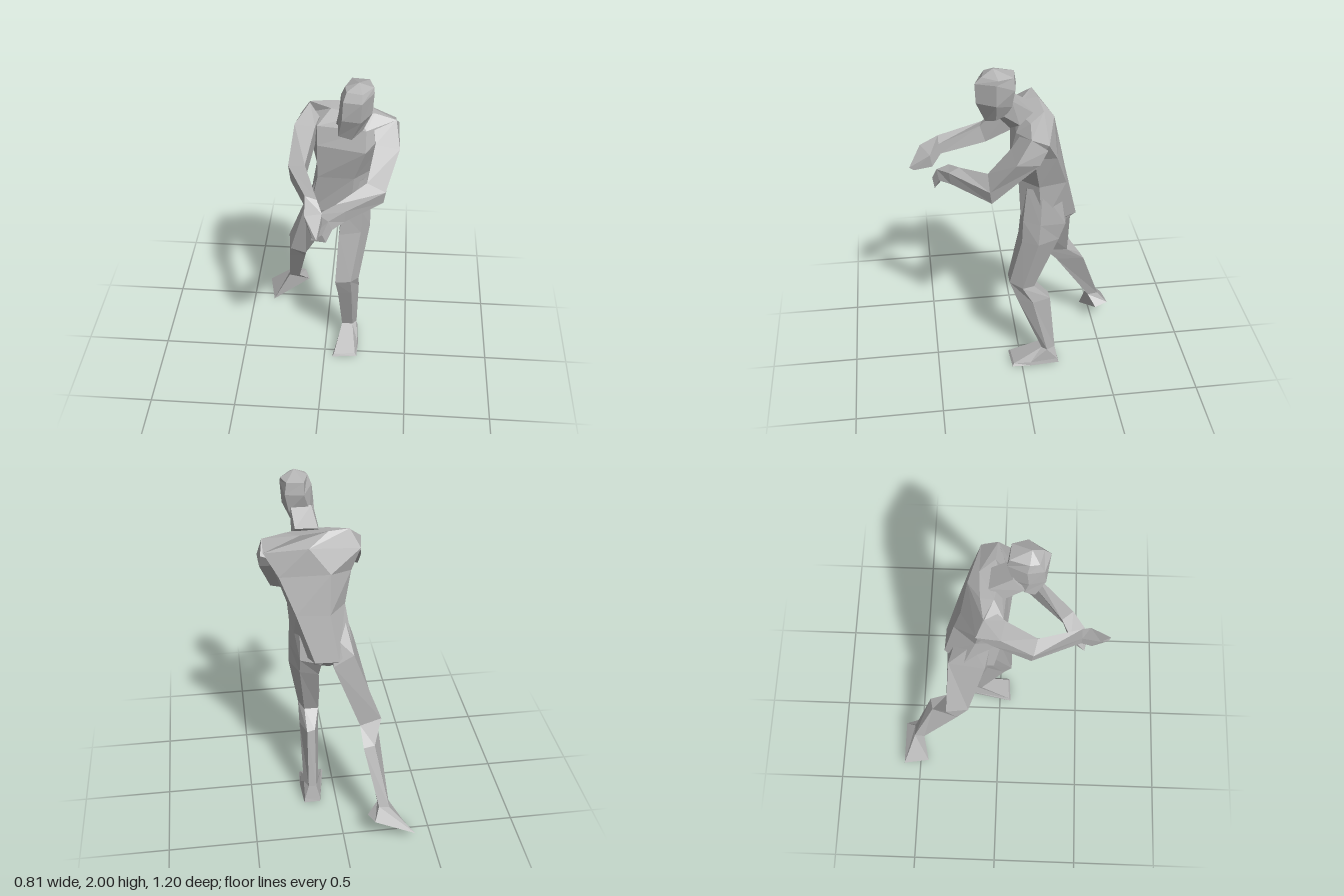
import * as THREE from 'three';

const skin = new THREE.MeshStandardMaterial({ color: 0xb4b4b4, flatShading: true });
skin.name = 'plain grey';

// Joins cross-section rings of equal length into a closed, faceted solid.
function loft(name, rings) {
  const n = rings[0].length, tris = [];
  for (let r = 0; r < rings.length - 1; r++) {
    for (let i = 0; i < n; i++) {
      const j = (i + 1) % n;
      const a = rings[r][i], b = rings[r][j], c = rings[r + 1][j], d = rings[r + 1][i];
      tris.push([a, b, c], [a, c, d]);
    }
  }
  const first = rings[0], last = rings[rings.length - 1];
  for (let i = 1; i < n - 1; i++) {
    tris.push([first[0], first[i + 1], first[i]], [last[0], last[i], last[i + 1]]);
  }
  // Turn every face outward, whichever way the rings run.
  const v = (p) => new THREE.Vector3(...p);
  const centre = v(first[0]);
  const volume = tris.reduce((s, [a, b, c]) =>
    s + v(a).sub(centre).dot(v(b).sub(centre).cross(v(c).sub(centre))), 0);
  if (volume < 0) tris.forEach((t) => t.reverse());
  const geo = new THREE.BufferGeometry();
  geo.setAttribute('position', new THREE.Float32BufferAttribute(tris.flat(2), 3));
  geo.computeVertexNormals();
  const mesh = new THREE.Mesh(geo, skin);
  mesh.name = name;
  return mesh;
}

export function createModel() {
  const model = new THREE.Group();
  model.name = 'figure';

  // Torso: crotch, hips, waist, chest, shoulders, collar
  model.add(loft('torso', [
    [[0.02, 0.98, -0.04], [0.08, 0.98, -0.04], [0.15, 0.98, -0.1], [0.13, 0.99, -0.2], [0.04, 0.99, -0.22], [0, 1, -0.15]],
    [[-0.085, 1.08, -0.03], [0.14, 1.08, 0.005], [0.235, 1.06, -0.1], [0.13, 1.07, -0.305], [0, 1.07, -0.31], [-0.09, 1.1, -0.2]],
    [[-0.04, 1.33, 0.015], [0.16, 1.33, 0.02], [0.255, 1.33, -0.08], [0.22, 1.33, -0.23], [0.04, 1.33, -0.25], [-0.055, 1.33, -0.13]],
    [[-0.04, 1.55, 0.04], [0.22, 1.53, 0.07], [0.33, 1.55, -0.04], [0.3, 1.53, -0.165], [0.03, 1.55, -0.205], [-0.09, 1.52, -0.11]],
    [[-0.04, 1.66, 0.02], [0.22, 1.65, 0.04], [0.375, 1.69, -0.02], [0.375, 1.65, -0.11], [0.14, 1.69, -0.17], [-0.14, 1.65, -0.115]],
    [[0.03, 1.74, -0.03], [0.18, 1.72, 0], [0.26, 1.72, -0.03], [0.18, 1.74, -0.11], [0.03, 1.75, -0.1], [-0.085, 1.75, -0.08]],
  ]));

  // Neck and head
  model.add(loft('neck', [
    [[0.13, 1.63, 0.06], [0.215, 1.69, 0.02], [0.2, 1.75, -0.05], [0.08, 1.75, -0.06], [0.06, 1.68, 0.02]],
    [[0.13, 1.73, 0.15], [0.2, 1.76, 0.13], [0.21, 1.83, 0.06], [0.1, 1.83, 0.06], [0.075, 1.76, 0.12]],
  ]));
  model.add(loft('head', [
    [[0.08, 1.7, 0.175], [0.15, 1.69, 0.19], [0.205, 1.72, 0.14], [0.2, 1.74, 0.09], [0.11, 1.74, 0.08], [0.075, 1.74, 0.12]],
    [[0.1, 1.82, 0.225], [0.195, 1.82, 0.24], [0.25, 1.82, 0.14], [0.22, 1.8, 0.06], [0.11, 1.8, 0.06], [0.08, 1.82, 0.14]],
    [[0.105, 1.92, 0.215], [0.2, 1.93, 0.245], [0.258, 1.94, 0.14], [0.24, 1.9, 0.045], [0.14, 1.9, 0.03], [0.09, 1.92, 0.13]],
    [[0.12, 1.965, 0.19], [0.2, 1.965, 0.21], [0.255, 1.965, 0.13], [0.23, 1.965, 0.05], [0.14, 1.965, 0.04], [0.11, 1.97, 0.14]],
    Array(6).fill([0.18, 2, 0.15]),
  ]));

  // Right leg: waist side, hip, knee, calf, ankle
  const rightAnkle = [[-0.265, 0.2, -0.47], [-0.2, 0.2, -0.47], [-0.2, 0.21, -0.53], [-0.26, 0.2, -0.53]];
  model.add(loft('rightLeg', [
    [[-0.045, 1.29, -0.05], [0.03, 1.2, -0.04], [0.03, 1.2, -0.24], [-0.045, 1.27, -0.15]],
    [[-0.11, 1.09, -0.08], [0.02, 0.99, -0.02], [0.03, 1.03, -0.295], [-0.085, 1.09, -0.285]],
    [[-0.22, 0.66, -0.18], [-0.13, 0.63, -0.18], [-0.12, 0.63, -0.31], [-0.24, 0.67, -0.31]],
    [[-0.235, 0.55, -0.25], [-0.14, 0.55, -0.25], [-0.125, 0.55, -0.415], [-0.19, 0.55, -0.4]],
    rightAnkle,
  ]));
  // Trailing foot, raised at the heel
  model.add(loft('rightFoot', [
    rightAnkle,
    [[-0.37, 0, -0.45], [-0.14, 0.14, -0.51], [-0.17, 0.15, -0.59], [-0.405, 0.045, -0.6]],
  ]));

  // Left leg: waist side, hip, thigh, knee, calf, ankle
  const leftAnkle = [[0.1, 0.12, -0.12], [0.165, 0.12, -0.12], [0.19, 0.12, -0.15], [0.165, 0.12, -0.2], [0.12, 0.12, -0.2]];
  model.add(loft('leftLeg', [
    [[0.13, 1.25, -0.02], [0.21, 1.3, -0.02], [0.245, 1.3, -0.1], [0.2, 1.3, -0.2], [0.13, 1.22, -0.2]],
    [[0.1, 1.08, 0], [0.21, 1.09, 0], [0.253, 1.08, -0.09], [0.205, 1.05, -0.235], [0.09, 1.03, -0.26]],
    [[0.08, 0.93, 0.01], [0.205, 0.95, 0.005], [0.255, 0.95, -0.08], [0.205, 0.95, -0.2], [0.1, 0.93, -0.205]],
    [[0.065, 0.62, 0.07], [0.155, 0.63, 0.07], [0.2, 0.61, 0], [0.17, 0.6, -0.07], [0.09, 0.6, -0.07]],
    [[0.08, 0.5, 0.025], [0.16, 0.5, 0.025], [0.2, 0.5, -0.06], [0.165, 0.5, -0.165], [0.12, 0.51, -0.16]],
    leftAnkle,
  ]));
  model.add(loft('leftFoot', [
    leftAnkle,
    [[0.06, 0.025, 0.06], [0.19, 0.03, 0.05], [0.2, 0.035, -0.05], [0.19, 0.04, -0.215], [0.1, 0.04, -0.215]],
    [[0.05, 0.01, 0.07], [0.2, 0.015, 0.06], [0.205, 0.015, -0.05], [0.195, 0.015, -0.222], [0.1, 0.015, -0.22]],
  ]));

  // Right arm: shoulder, upper arm, elbow, wrist, then hand
  const rightWrist = [[-0.07, 1.5, 0.43], [-0.01, 1.48, 0.43], [-0.01, 1.42, 0.42], [-0.065, 1.42, 0.43]];
  model.add(loft('rightArm', [
    [[-0.085, 1.745, -0.075], [-0.03, 1.7, -0.01], [-0.02, 1.57, -0.08], [-0.14, 1.64, -0.12]],
    [[-0.16, 1.66, 0.01], [-0.05, 1.66, 0.03], [-0.05, 1.54, -0.01], [-0.155, 1.57, -0.03]],
    [[-0.18, 1.51, 0.18], [-0.09, 1.53, 0.2], [-0.09, 1.43, 0.17], [-0.17, 1.41, 0.17]],
    rightWrist,
  ]));
  model.add(loft('rightHand', [
    rightWrist,
    [[-0.065, 1.45, 0.53], [0.02, 1.43, 0.48], [0.02, 1.36, 0.47], [-0.06, 1.37, 0.49]],
    [[-0.02, 1.35, 0.58], [0, 1.35, 0.595], [0.005, 1.335, 0.57], [-0.03, 1.335, 0.54]],
  ]));

  // Left arm: shoulder, upper arm, elbow, wrist, then hand
  const leftWrist = [[0.13, 1.38, 0.39], [0.08, 1.38, 0.33], [0.09, 1.31, 0.34], [0.13, 1.31, 0.38]];
  model.add(loft('leftArm', [
    [[0.375, 1.69, -0.02], [0.26, 1.66, 0.02], [0.25, 1.58, -0.12], [0.39, 1.63, -0.1]],
    [[0.4, 1.56, 0.06], [0.27, 1.59, 0.07], [0.27, 1.48, -0.02], [0.395, 1.55, -0.06]],
    [[0.335, 1.37, 0.19], [0.235, 1.425, 0.19], [0.26, 1.29, 0.16], [0.325, 1.295, 0.18]],
    leftWrist,
  ]));
  model.add(loft('leftHand', [
    leftWrist,
    [[0.05, 1.36, 0.45], [-0.01, 1.35, 0.38], [-0.01, 1.3, 0.38], [0.07, 1.3, 0.44]],
    [[0.02, 1.29, 0.475], [-0.02, 1.28, 0.45], [-0.04, 1.24, 0.46], [0.04, 1.235, 0.465]],
  ]));

  return model;
}
